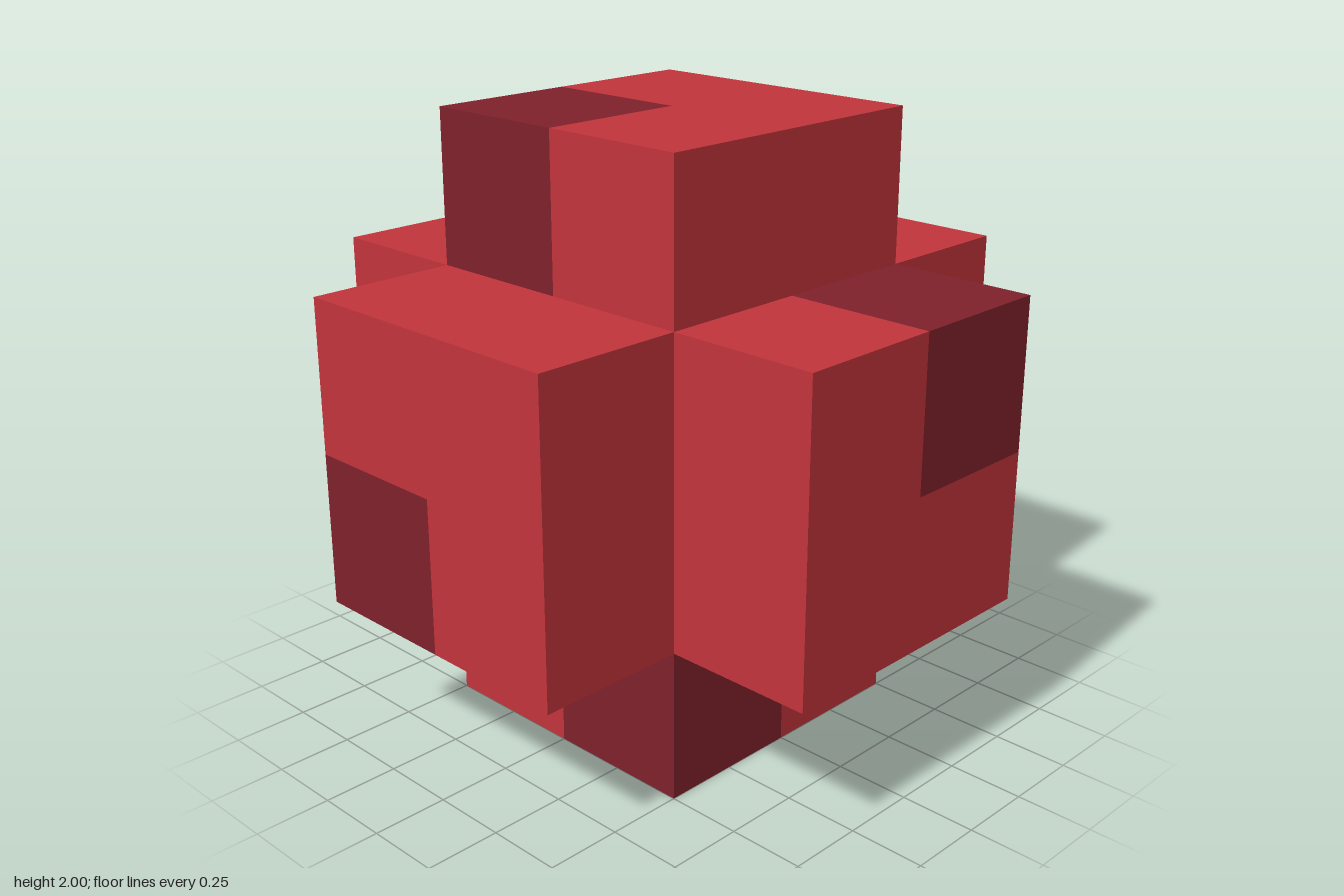
import * as THREE from 'three';

const red = new THREE.MeshStandardMaterial({ color: 0xc1343b });
red.name = 'red';
const maroon = new THREE.MeshStandardMaterial({ color: 0x7e212c });
maroon.name = 'maroon';

// One block: axis and side say where it sticks out; patch gives the signs of
// the coordinates of its maroon quarter (0 along its own axis, null for none).
const blocks = [
  { name: 'topBlock', axis: 1, side: 1, patch: [-1, 0, 1] },
  { name: 'bottomBlock', axis: 1, side: -1, patch: [1, 0, 1] },
  { name: 'leftBlock', axis: 0, side: 1, patch: [0, 1, -1] },
  { name: 'rightBlock', axis: 0, side: -1, patch: null },
  { name: 'frontBlock', axis: 2, side: 1, patch: [-1, -1, 0] },
  { name: 'backBlock', axis: 2, side: -1, patch: [-1, 1, 0] },
];

// Splits a half-depth block into quarters and sorts its triangles by colour.
function blockGeometry({ axis, side, patch }) {
  const size = [1, 1, 1];
  const segments = [2, 2, 2];
  size[axis] = 0.5;
  segments[axis] = 1;
  const geometry = new THREE.BoxGeometry(...size, ...segments);
  const position = geometry.attributes.position;
  const index = geometry.index.array;
  const sorted = [[], []];
  for (let i = 0; i < index.length; i += 3) {
    const corners = [index[i], index[i + 1], index[i + 2]];
    const centre = [0, 1, 2].map((a) =>
      corners.reduce((sum, c) => sum + position.getComponent(c, a), 0) / 3);
    // Leave out the face buried against the middle of the model
    if (centre[axis] * side < -0.249) continue;
    const dark = patch !== null && patch.every((s, a) => s === 0 || centre[a] * s > 0);
    sorted[dark ? 1 : 0].push(...corners);
  }
  geometry.setIndex([...sorted[0], ...sorted[1]]);
  geometry.clearGroups();
  geometry.addGroup(0, sorted[0].length, 0);
  if (sorted[1].length) geometry.addGroup(sorted[0].length, sorted[1].length, 1);
  return geometry;
}

export function createModel() {
  const model = new THREE.Group();
  model.name = 'crossBlock';
  for (const block of blocks) {
    const mesh = new THREE.Mesh(blockGeometry(block), [red, maroon]);
    mesh.name = block.name;
    mesh.position.set(0, 1, 0);
    const offset = new THREE.Vector3().setComponent(block.axis, 0.75 * block.side);
    mesh.position.add(offset);
    model.add(mesh);
  }
  return model;
}
